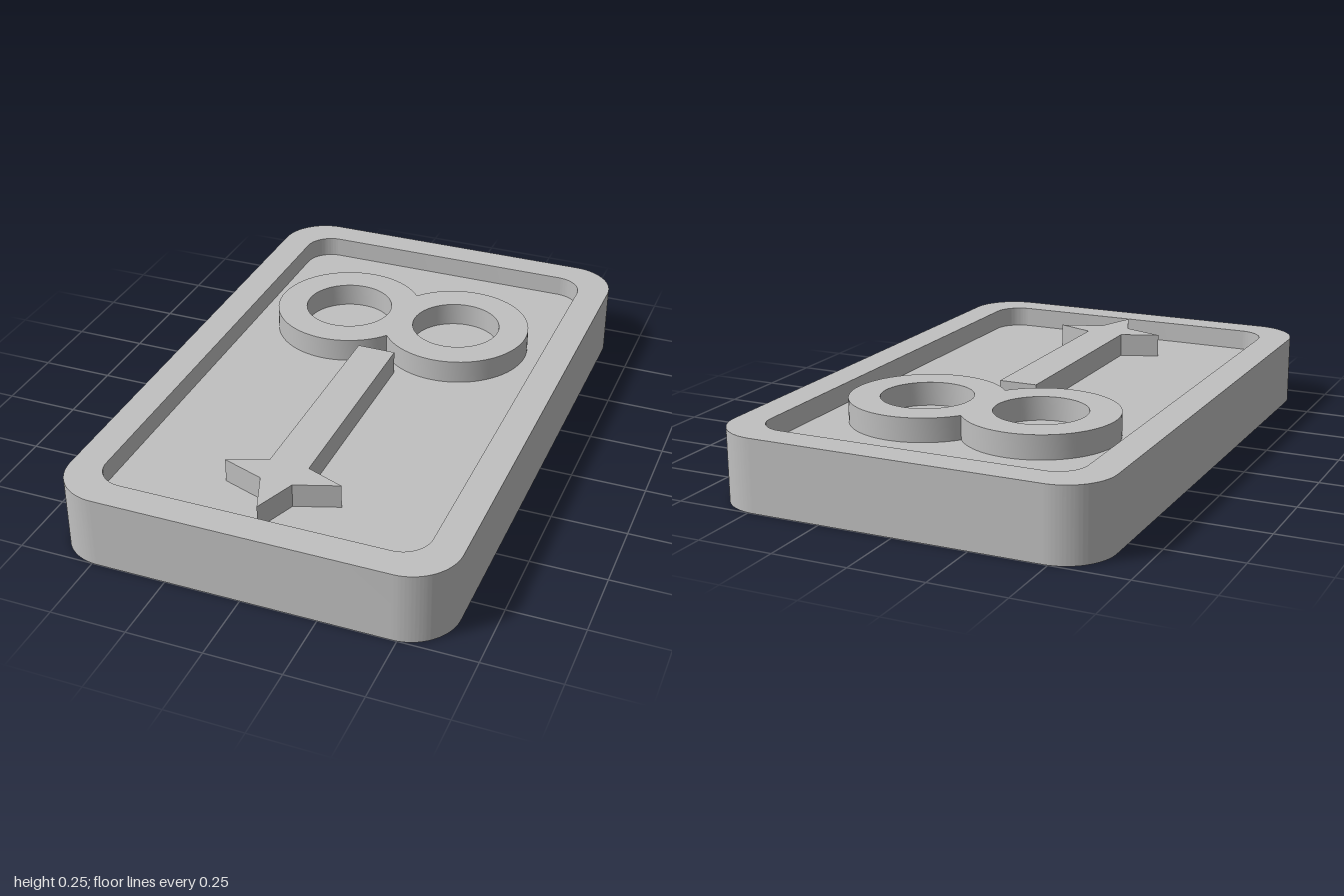
import * as THREE from 'three';
import { toCreasedNormals } from 'three/addons/utils/BufferGeometryUtils.js';

const FLOOR = 0.17, RIM_TOP = 0.24, EMBLEM_TOP = 0.25;

// Rounded rectangle traced on a shape or hole path
function roundedRect(path, hx, hz, r) {
  const q = Math.PI / 2;
  path.moveTo(hx, -hz + r);
  path.absarc(hx - r, hz - r, r, 0, q);
  path.absarc(-hx + r, hz - r, r, q, 2 * q);
  path.absarc(-hx + r, -hz + r, r, 2 * q, 3 * q);
  path.absarc(hx - r, -hz + r, r, 3 * q, 4 * q);
  return path;
}

// Upright slab from a plan outline (outline y points to the back, -z)
function slab(name, shape, bottom, top, material) {
  let geo = new THREE.ExtrudeGeometry(shape, { depth: top - bottom, bevelEnabled: false, curveSegments: 32 });
  geo.rotateX(-Math.PI / 2);
  geo.translate(0, bottom, 0);
  geo = toCreasedNormals(geo, 0.5);
  const mesh = new THREE.Mesh(geo, material);
  mesh.name = name;
  return mesh;
}

export function createModel() {
  const grey = new THREE.MeshStandardMaterial({ color: 0xc0c0c0 });
  grey.name = 'light grey';
  const group = new THREE.Group();
  group.name = 'embossedTray';

  // Rim frame around the recess, and the recessed floor inside it
  const rim = roundedRect(new THREE.Shape(), 0.643, 1, 0.16);
  rim.holes.push(roundedRect(new THREE.Path(), 0.537, 0.897, 0.095));
  group.add(slab('rim', rim, 0, RIM_TOP, grey));
  const floor = roundedRect(new THREE.Shape(), 0.537, 0.897, 0.095);
  group.add(slab('recessedFloor', floor, 0, FLOOR, grey));

  // Two merged rings
  const cx = 0.203, cy = 0.397, outer = 0.256, inner = 0.153;
  const a = Math.acos(cx / outer);
  const rings = new THREE.Shape();
  rings.absarc(cx, cy, outer, a - Math.PI, Math.PI - a);
  rings.absarc(-cx, cy, outer, a, 2 * Math.PI - a);
  for (const s of [1, -1]) {
    rings.holes.push(new THREE.Path().absarc(s * cx, cy, inner, 0, Math.PI * 2, true));
  }
  group.add(slab('doubleRing', rings, FLOOR, EMBLEM_TOP, grey));

  // Shaft ending in a star-shaped point, mirrored across x = 0
  const half = [[0.066, 0.14], [0.066, -0.615], [0.195, -0.665], [0.053, -0.715]];
  const outline = [
    ...half.map(([x, y]) => new THREE.Vector2(x, y)),
    new THREE.Vector2(0, -0.857),
    ...half.slice().reverse().map(([x, y]) => new THREE.Vector2(-x, y)),
  ];
  group.add(slab('starTippedShaft', new THREE.Shape(outline), FLOOR, EMBLEM_TOP, grey));

  return group;
}
